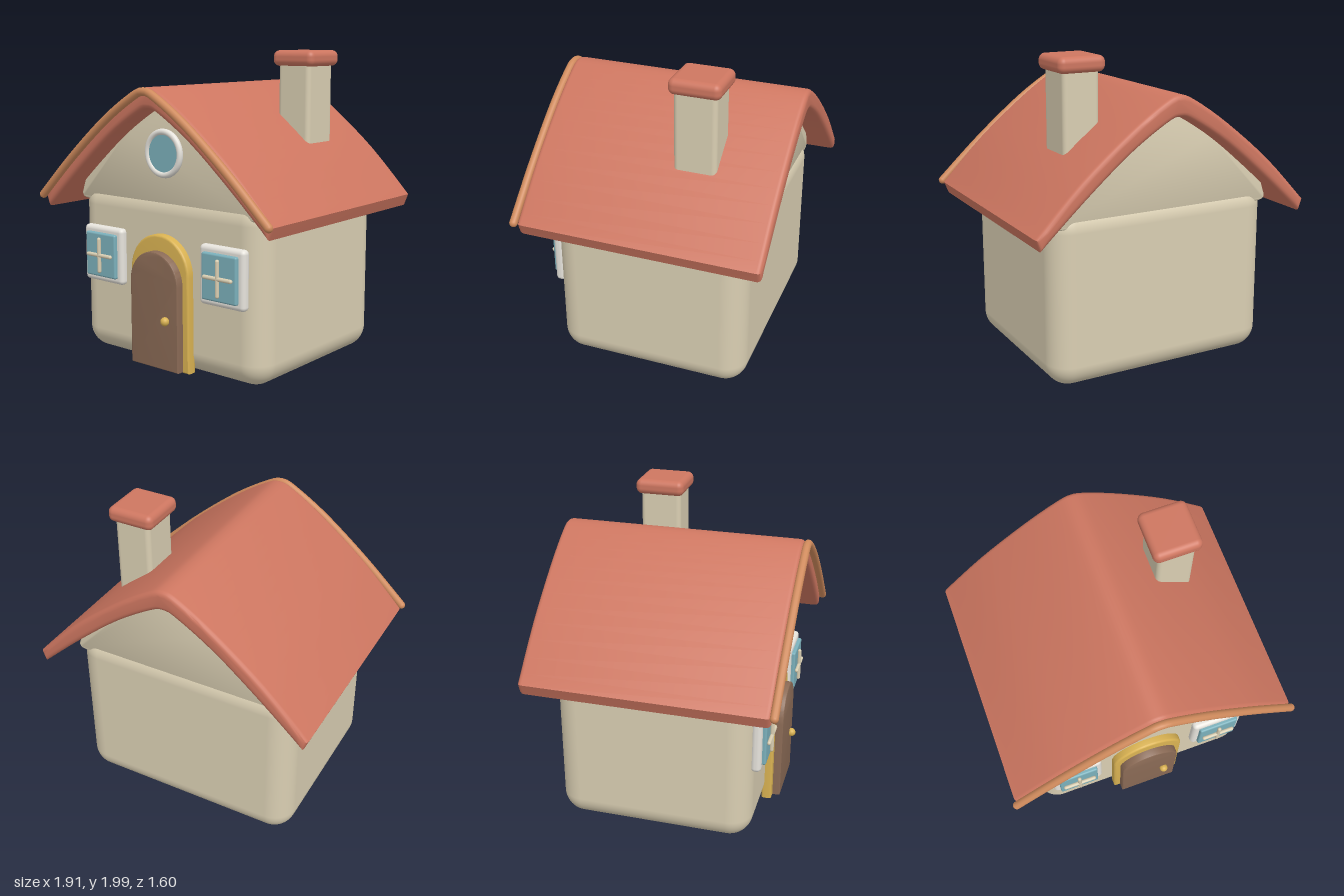
import * as THREE from 'three';
import { toCreasedNormals } from 'three/addons/utils/BufferGeometryUtils.js';
import { RoundedBoxGeometry } from 'three/addons/geometries/RoundedBoxGeometry.js';

const paint = (color) => new THREE.MeshStandardMaterial({ color });
const WALL = paint(0xd9ceb2), ROOF = paint(0xcd7660), TRIM = paint(0xcf8a5c), GOLD = paint(0xd9b252);
const WOOD = paint(0x8a6a55), GLASS = paint(0x7bb0bb), WHITE = paint(0xe6e3dc);

function add(parent, name, geometry, material, x = 0, y = 0, z = 0) {
  const mesh = new THREE.Mesh(geometry, material);
  mesh.name = name;
  mesh.position.set(x, y, z);
  parent.add(mesh);
  return mesh;
}

const rounded = (w, h, d, r, segments = 5) => new RoundedBoxGeometry(w, h, d, segments, r);

// Extrusion with softened edges, spanning z0 to z1 and keeping the outline size
function softExtrude(shape, z0, z1, bevel) {
  const g = new THREE.ExtrudeGeometry(shape, {
    depth: z1 - z0 - 2 * bevel, curveSegments: 24, bevelEnabled: true,
    bevelThickness: bevel, bevelSize: bevel, bevelOffset: -bevel, bevelSegments: 4,
  });
  g.translate(0, 0, z0 + bevel);
  return toCreasedNormals(g, 0.7);
}

// Mirrors a half profile (ridge first) and smooths it from the -x eave to the +x eave
function ridgeCurve(half, steps = 32) {
  const pts = half.map(([x, y]) => new THREE.Vector2(x, y));
  const left = pts.slice(1).reverse().map((p) => new THREE.Vector2(-p.x, p.y));
  return new THREE.SplineCurve([...left, ...pts]).getPoints(steps);
}

// Outline of an arched doorway
function archShape(halfWidth, bottom, top) {
  const s = new THREE.Shape();
  s.moveTo(-halfWidth, bottom);
  s.lineTo(halfWidth, bottom);
  s.lineTo(halfWidth, top - halfWidth);
  s.absarc(0, top - halfWidth, halfWidth, 0, Math.PI, false);
  s.closePath();
  return s;
}

function squareWindow(name, x) {
  const g = new THREE.Group();
  g.name = name;
  g.position.set(x, 0.685, 0);
  add(g, 'windowFrame', rounded(0.345, 0.37, 0.065, 0.028), WHITE, 0, 0, 0.625);
  add(g, 'windowPane', rounded(0.265, 0.29, 0.07, 0.012), GLASS, 0, 0, 0.647);
  const bar = (length) => new THREE.CapsuleGeometry(0.013, length - 0.026, 6, 12);
  add(g, 'verticalBar', bar(0.235), WALL, 0, 0, 0.692);
  add(g, 'crossBar', bar(0.225), WALL, 0, 0, 0.692).rotation.z = Math.PI / 2;
  return g;
}

export function createModel() {
  const house = new THREE.Group();
  house.name = 'cottage';

  // Walls
  add(house, 'walls', rounded(1.52, 1.14, 1.26, 0.15, 8), WALL, 0, 0.58, -0.02);

  // Gable block filling the space under the roof
  const gable = new THREE.Shape();
  gable.moveTo(-0.7, 1.03);
  gable.lineTo(0.7, 1.03);
  gable.quadraticCurveTo(0.755, 1.03, 0.75, 1.07);
  gable.lineTo(0.71, 1.185);
  gable.lineTo(0.63, 1.255);
  gable.lineTo(0.33, 1.5);
  gable.quadraticCurveTo(0.1, 1.68, 0, 1.69);
  gable.quadraticCurveTo(-0.1, 1.68, -0.33, 1.5);
  gable.lineTo(-0.63, 1.255);
  gable.lineTo(-0.71, 1.185);
  gable.lineTo(-0.75, 1.07);
  gable.quadraticCurveTo(-0.755, 1.03, -0.7, 1.03);
  add(house, 'gable', softExtrude(gable, -0.633, 0.593, 0.012), WALL);

  // Roof shell
  const outer = ridgeCurve([[0, 1.79], [0.11, 1.75], [0.34, 1.595], [0.65, 1.34], [0.935, 1.05]]);
  const inner = ridgeCurve([[0, 1.66], [0.09, 1.63], [0.33, 1.475], [0.62, 1.235], [0.905, 0.975]]);
  const roof = new THREE.Shape([...inner, ...outer.reverse()]);
  add(house, 'roof', softExtrude(roof, -0.8, 0.755, 0.03), ROOF);

  // Rounded trim along the front roof edge
  const trimPts = ridgeCurve([[0, 1.765], [0.1, 1.728], [0.335, 1.575], [0.64, 1.325], [0.93, 1.055]], 40)
    .map((p) => new THREE.Vector3(p.x, p.y, 0.773));
  const trimPath = new THREE.CatmullRomCurve3(trimPts);
  add(house, 'roofTrim', new THREE.TubeGeometry(trimPath, 80, 0.026, 12), TRIM);
  for (const p of [trimPts[0], trimPts[trimPts.length - 1]]) {
    add(house, 'trimEnd', new THREE.SphereGeometry(0.026, 16, 12), TRIM, p.x, p.y, p.z);
  }

  // Chimney
  add(house, 'chimney', rounded(0.24, 0.68, 0.27, 0.03), WALL, 0.445, 1.59, -0.265);
  add(house, 'chimneyCap', rounded(0.31, 0.1, 0.325, 0.04), ROOF, 0.445, 1.95, -0.267);

  // Door
  add(house, 'doorFrame', softExtrude(archShape(0.24, 0.03, 0.88), 0.59, 0.66, 0.015), GOLD);
  add(house, 'door', softExtrude(archShape(0.197, 0.04, 0.78), 0.6, 0.71, 0.008), WOOD);
  add(house, 'doorKnob', new THREE.SphereGeometry(0.028, 20, 14), GOLD, 0.105, 0.36, 0.722);

  // Front windows
  house.add(squareWindow('leftWindow', 0.497), squareWindow('rightWindow', -0.497));

  // Round attic window
  add(house, 'atticFrame', new THREE.TorusGeometry(0.133, 0.02, 12, 48), WHITE, 0, 1.38, 0.603);
  const pane = add(house, 'atticPane', new THREE.CylinderGeometry(0.122, 0.122, 0.04, 48), GLASS, 0, 1.38, 0.592);
  pane.rotation.x = Math.PI / 2;

  return house;
}
